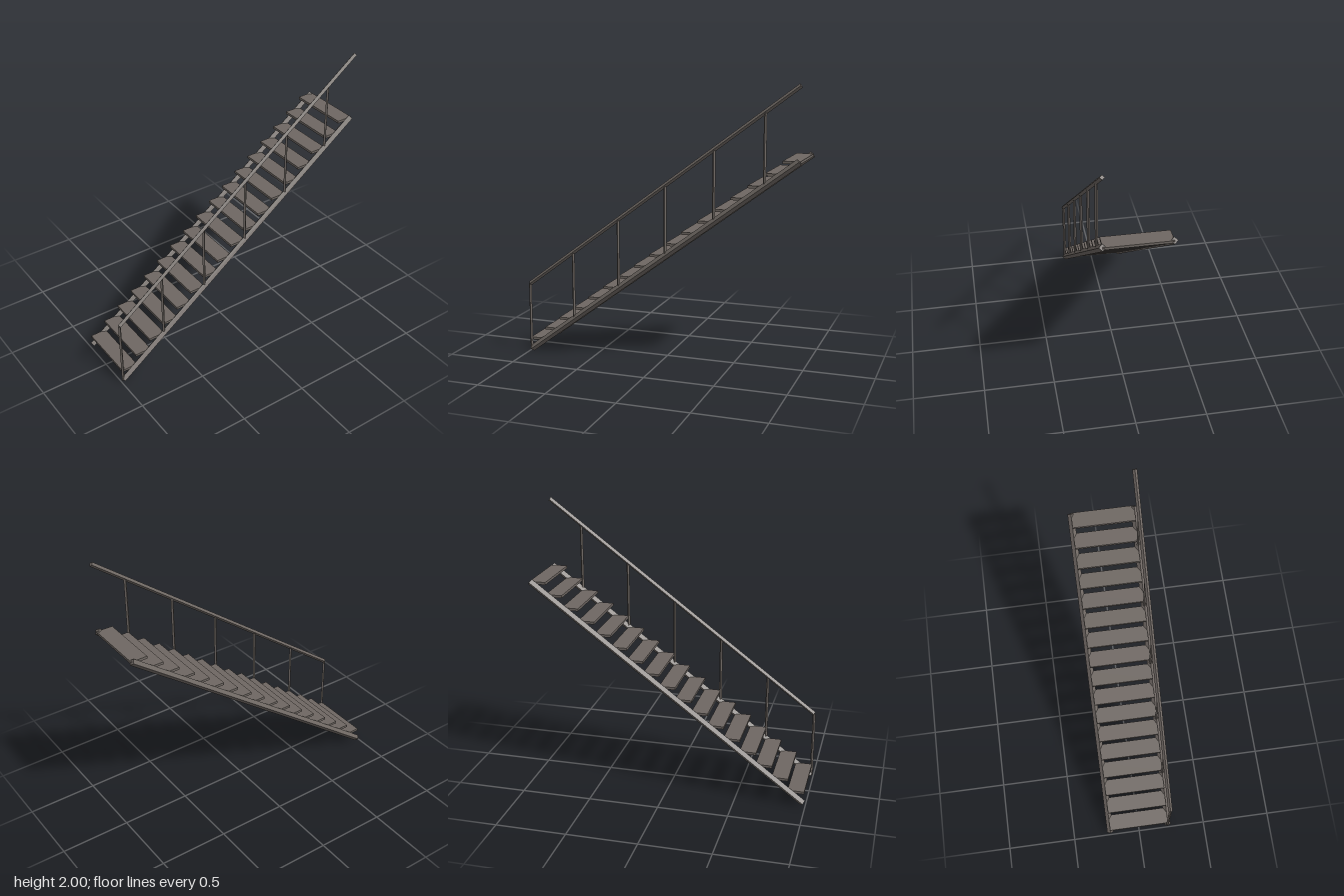
import * as THREE from 'three';

const steel = new THREE.MeshStandardMaterial({ color: 0x6e6762, flatShading: true });
steel.name = 'darkSteel';

// Square bar set on its edge, running between two points
function bar(name, from, to, radius) {
  const a = new THREE.Vector3(...from);
  const b = new THREE.Vector3(...to);
  const dir = b.clone().sub(a);
  const mesh = new THREE.Mesh(new THREE.CylinderGeometry(radius, radius, dir.length(), 4), steel);
  mesh.position.copy(a).add(b).multiplyScalar(0.5);
  mesh.quaternion.setFromUnitVectors(new THREE.Vector3(0, 1, 0), dir.normalize());
  mesh.name = name;
  return mesh;
}

export function createModel() {
  const group = new THREE.Group();
  group.name = 'staircase';

  const sideZ = 0.222;
  const startX = -0.983, endX = 0.985;
  const slope = 0.749;
  const stringerY = (x) => 0.023 + (x - startX) * slope;
  const railY = (x) => 0.517 + (x - startX) * slope;

  // Sloping side beams
  for (const s of [1, -1]) {
    group.add(bar(s > 0 ? 'frontStringer' : 'backStringer',
      [startX, stringerY(startX), s * sideZ], [endX, stringerY(endX), s * sideZ], 0.0235));
  }

  // Treads
  const treads = new THREE.Group();
  treads.name = 'treads';
  const treadGeometry = new THREE.BoxGeometry(0.118, 0.018, sideZ * 2);
  for (let i = 0; i < 17; i++) {
    const tread = new THREE.Mesh(treadGeometry, steel);
    tread.name = 'tread';
    tread.position.set(-0.988 + 0.1163 * i + 0.059, 0.1 + 0.0869 * i, 0);
    treads.add(tread);
  }
  group.add(treads);

  // Handrail on the front side only
  group.add(bar('handrail', [startX - 0.002, railY(startX), sideZ], [endX, railY(endX), sideZ], 0.016));

  // Upright posts
  for (let i = 0; i < 6; i++) {
    const x = -0.986 + 0.348 * i;
    group.add(bar('post', [x, stringerY(x), sideZ], [x, railY(x), sideZ], 0.0105));
  }

  return group;
}
